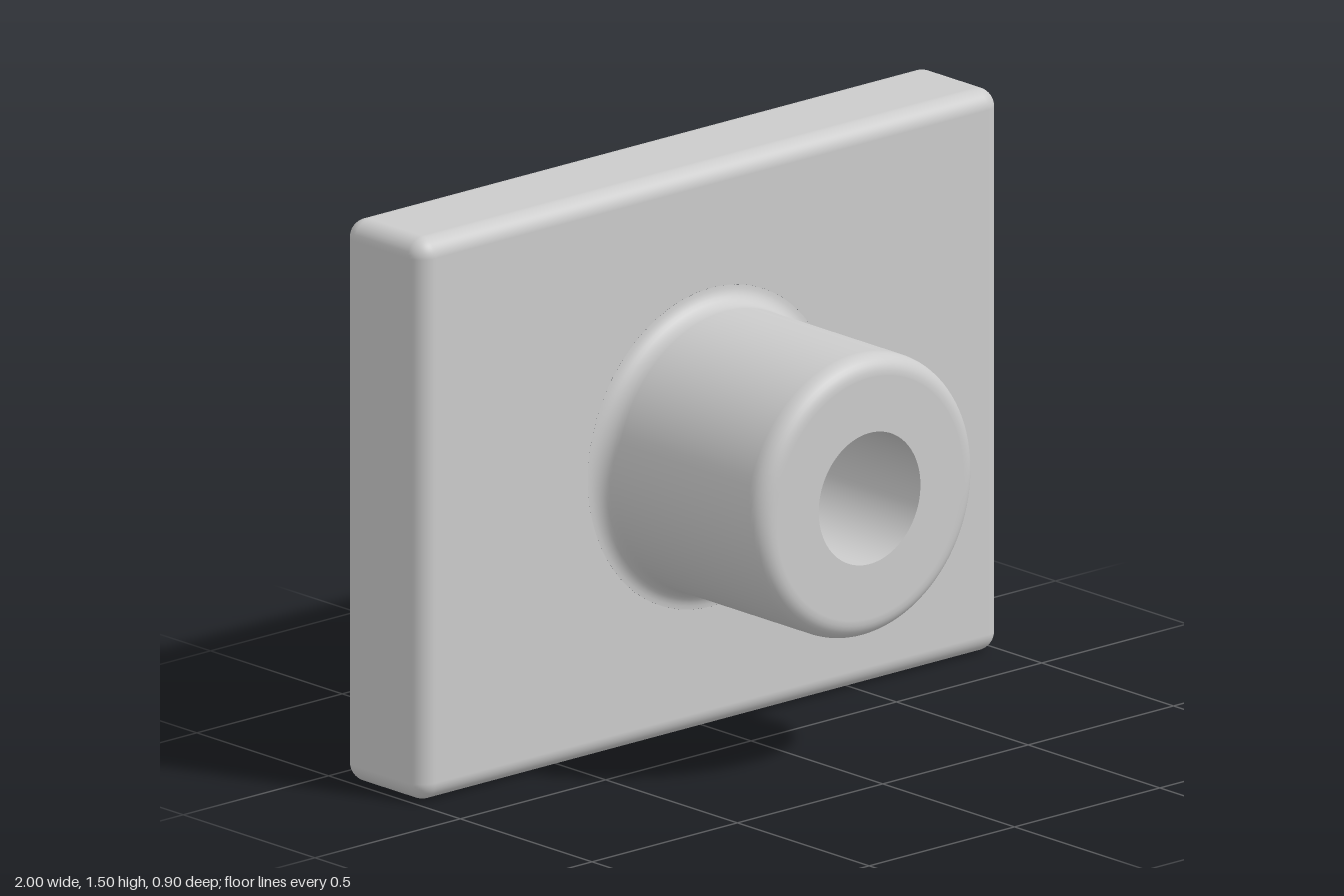
import * as THREE from 'three';
import { RoundedBoxGeometry } from 'three/addons/geometries/RoundedBoxGeometry.js';

const W = 2, H = 1.5, T = 0.3;        // plate
const R = 0.05;                       // edge rounding and fillet
const BOSS = 0.375, BORE = 0.175;     // radii
const BACK = -0.45, FACE = -0.15, FRONT = 0.45;
const SEGMENTS = 96;

const material = new THREE.MeshStandardMaterial({ color: 0xcccccc });

function mesh(name, geometry) {
  const m = new THREE.Mesh(geometry, material);
  m.name = name;
  return m;
}

// Rounded box without its two flat z faces
function plateRim() {
  const geo = new RoundedBoxGeometry(W, H, T, 6, R);
  const box = geo.index ? geo.toNonIndexed() : geo;
  const pos = box.attributes.position, nor = box.attributes.normal;
  const p = [], n = [];
  for (let i = 0; i < pos.count; i += 3) {
    const tri = [i, i + 1, i + 2];
    if (tri.every((k) => Math.abs(nor.getZ(k)) > 0.9999)) continue;
    for (const k of tri) {
      p.push(pos.getX(k), pos.getY(k), pos.getZ(k));
      n.push(nor.getX(k), nor.getY(k), nor.getZ(k));
    }
  }
  const rim = new THREE.BufferGeometry();
  rim.setAttribute('position', new THREE.Float32BufferAttribute(p, 3));
  rim.setAttribute('normal', new THREE.Float32BufferAttribute(n, 3));
  return rim.translate(0, 0, (BACK + FACE) / 2);
}

// Flat face with a round opening
function plateFace(holeRadius) {
  const x = W / 2 - R, y = H / 2 - R;
  const shape = new THREE.Shape([[-x, -y], [x, -y], [x, y], [-x, y]].map((c) => new THREE.Vector2(...c)));
  shape.holes.push(new THREE.Path().absarc(0, 0, holeRadius, 0, Math.PI * 2, true));
  return new THREE.ShapeGeometry(shape, SEGMENTS);
}

// Points on a quarter circle, as (radius, depth)
function arc(cx, cy, from, to) {
  return Array.from({ length: 9 }, (_, i) => {
    const a = from + (to - from) * i / 8;
    return new THREE.Vector2(cx + R * Math.cos(a), cy + R * Math.sin(a));
  });
}

// Profile turned about the z axis
const turned = (points) => new THREE.LatheGeometry(points, SEGMENTS).rotateX(Math.PI / 2);

export function createModel() {
  const model = new THREE.Group();
  model.name = 'flangedBushing';
  const body = new THREE.Group();
  body.position.y = H / 2;
  model.add(body);

  // Plate
  const plate = new THREE.Group();
  plate.name = 'plate';
  const frontFace = mesh('plateFront', plateFace(BOSS + R));
  frontFace.position.z = FACE;
  const backFace = mesh('plateBack', plateFace(BORE));
  backFace.position.z = BACK;
  backFace.rotation.y = Math.PI;
  plate.add(mesh('plateRim', plateRim()), frontFace, backFace);

  // Boss: base fillet, straight wall, rounded lip, flat end
  const e = 0.004;
  const boss = mesh('boss', turned([
    ...arc(BOSS + R, FACE + R, -Math.PI / 2, -Math.PI),
    new THREE.Vector2(BOSS, FACE + R + e),
    new THREE.Vector2(BOSS, FRONT - R - e),
    ...arc(BOSS - R, FRONT - R, 0, Math.PI / 2),
    new THREE.Vector2(BOSS - R - e, FRONT),
    new THREE.Vector2(BORE, FRONT),
  ]));

  // Bore running through boss and plate
  const bore = mesh('bore', turned([
    new THREE.Vector2(BORE, FRONT),
    new THREE.Vector2(BORE, BACK),
  ]));

  body.add(plate, boss, bore);
  return model;
}
